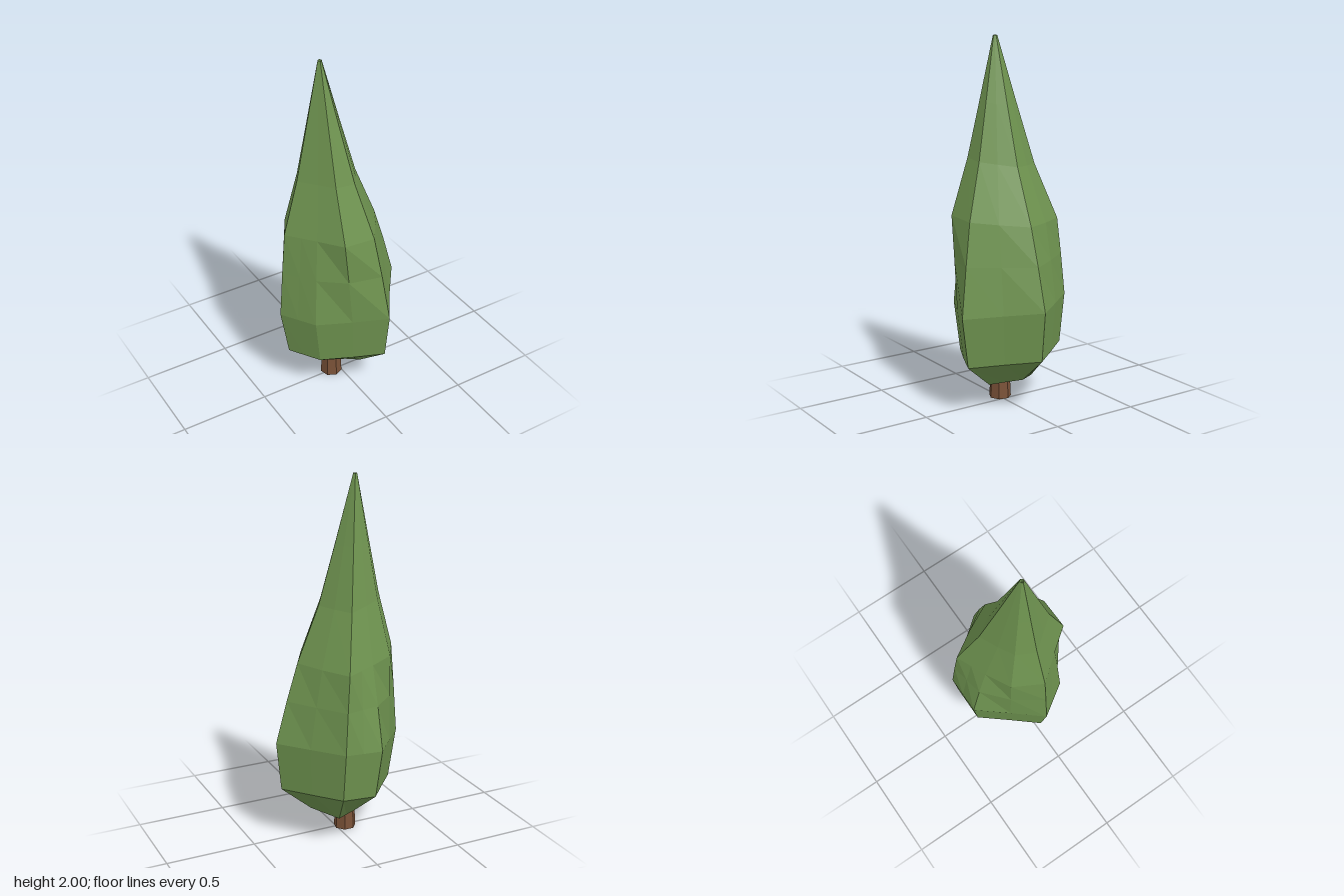
import * as THREE from 'three';

// Plan outlines [x, z] of the foliage: wide lower body and turned upper body
const LOW = [[.365, -.015], [.235, .16], [.115, .34], [-.07, .255], [-.25, .165], [-.31, .075],
  [-.37, -.015], [-.24, -.175], [-.11, -.34], [0, -.34], [.105, -.34], [.235, -.18]];
const HIGH = [[.235, -.015], [.15, .13], [.06, .255], [-.12, .255], [-.215, .13], [-.27, .06],
  [-.33, -.015], [-.24, -.17], [-.1, -.24], [-.015, -.275], [.07, -.31], [.16, -.165]];

// Rings from tip to underside: height, blend (0 low, 1 high), scale, centre x, tilt, jag
const RINGS = [
  [1.985, 1, 0, -.105, 0, 0],
  [2, 1, .04, -.105, 0, 0],
  [1.64, 1, .35, -.105, -.1, 0],
  [1.33, 1, .63, -.105, -.1, 0],
  [1.03, 1, 1, -.105, -.06, 0],
  [.81, .5, 1, 0, 0, 0],
  [.555, 0, 1, 0, .06, 0],
  [.28, 0, .9, .01, .07, 0],
  [.14, 0, .42, .01, 0, .015],
  [.19, 0, .25, -.02, 0, .02],
  [.22, 0, 0, -.05, 0, 0],
];

function createFoliage() {
  const n = LOW.length;
  const rings = RINGS.map(([y, blend, scale, cx, tilt, jag]) => LOW.map((p, i) => {
    const x = THREE.MathUtils.lerp(p[0], HIGH[i][0], blend);
    const z = THREE.MathUtils.lerp(p[1], HIGH[i][1], blend);
    // Scale towards the leaning axis of the crown
    const pivot = blend === 1 ? -.105 : 0;
    const px = cx + (x - pivot) * scale;
    const pz = -.015 + (z + .015) * scale;
    return [px, y + tilt * (px - pz) + (scale ? jag * Math.cos(i * Math.PI / 2) : 0), pz];
  }));
  const pos = [];
  for (let r = 0; r < rings.length - 1; r++) {
    for (let i = 0; i < n; i++) {
      const j = (i + 1) % n;
      const b = rings[r][i], c = rings[r][j];
      const a = rings[r + 1][i], d = rings[r + 1][j];
      if (r > 0) pos.push(...a, ...b, ...c);
      else pos.push(...a, ...b, ...d);
      if (r > 0 && r < rings.length - 2) pos.push(...a, ...c, ...d);
    }
  }
  const geo = new THREE.BufferGeometry();
  geo.setAttribute('position', new THREE.Float32BufferAttribute(pos, 3));
  geo.computeVertexNormals();
  return geo;
}

export function createModel() {
  const tree = new THREE.Group();
  tree.name = 'tree';

  // Faceted crown, leaning slightly to one side
  const foliage = new THREE.Mesh(createFoliage(),
    new THREE.MeshStandardMaterial({ color: 0x6f9450, flatShading: true }));
  foliage.name = 'foliage';

  // Short tapered trunk
  const trunk = new THREE.Mesh(new THREE.CylinderGeometry(.05, .062, .26, 7),
    new THREE.MeshStandardMaterial({ color: 0x7a5238, flatShading: true }));
  trunk.name = 'trunk';
  trunk.position.set(-.05, .13, -.01);

  tree.add(foliage, trunk);
  return tree;
}
